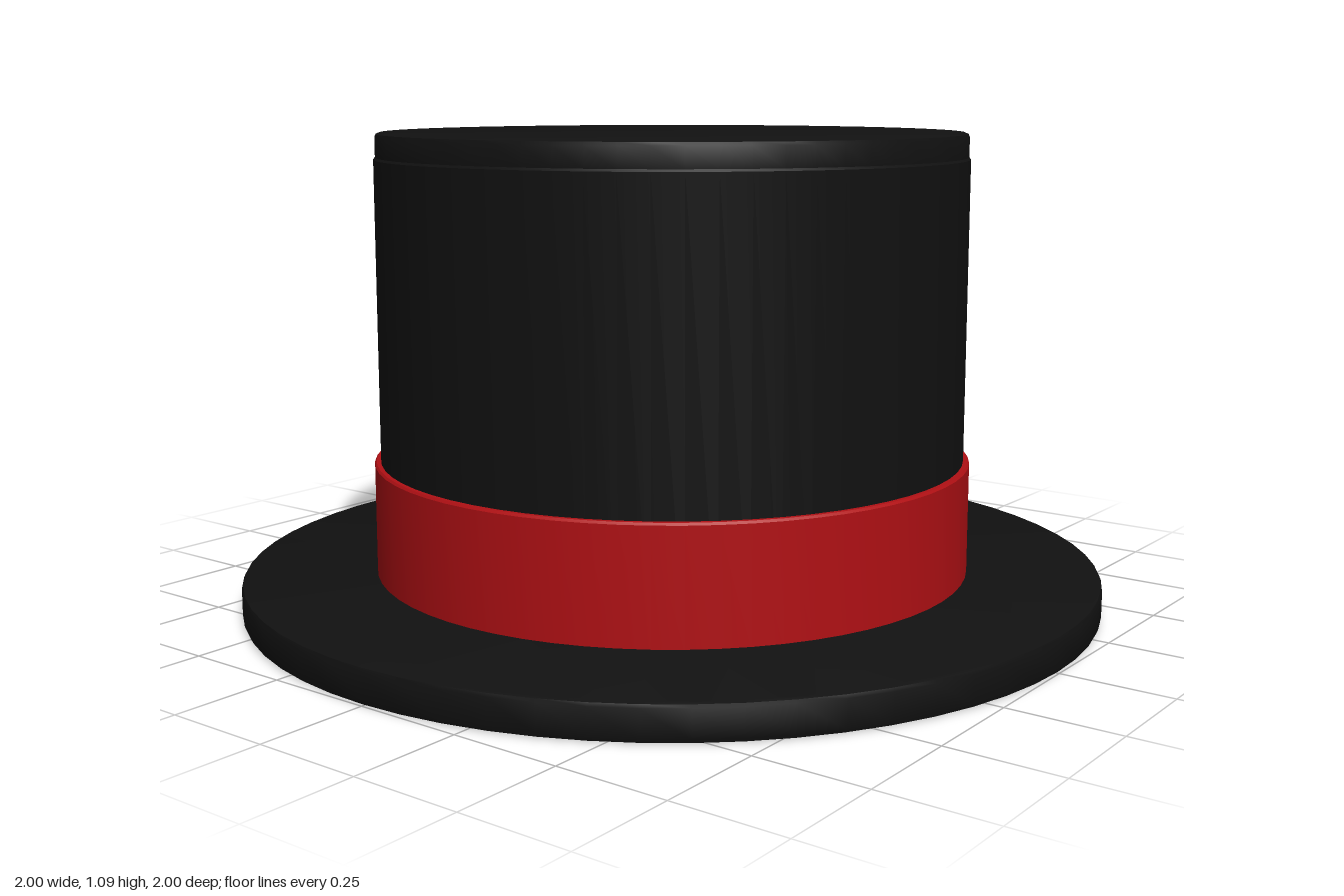
import * as THREE from 'three';
import { toCreasedNormals } from 'three/addons/utils/BufferGeometryUtils.js';

const SEGMENTS = 64;

// Turns a bottom-to-top [radius, height] profile around the y axis
function turned(name, profile, material) {
  const points = profile.map(([r, y]) => new THREE.Vector2(r, y));
  const geometry = toCreasedNormals(new THREE.LatheGeometry(points, SEGMENTS), 0.6);
  const mesh = new THREE.Mesh(geometry, material);
  mesh.name = name;
  return mesh;
}

export function createModel() {
  const felt = new THREE.MeshStandardMaterial({ color: 0x111111 });
  const ribbon = new THREE.MeshStandardMaterial({ color: 0xb01014 });
  const hat = new THREE.Group();
  hat.name = 'topHat';

  // Flat disc brim with softened edges, closed underneath
  hat.add(turned('brim', [
    [0, 0], [0.99, 0], [0.997, 0.003], [1, 0.01],
    [1, 0.07], [0.997, 0.077], [0.99, 0.08], [0, 0.08],
  ], felt));

  // Tall crown, very slightly drawn in at the top edge
  hat.add(turned('crown', [
    [0.68, 0.07], [0.68, 1.03], [0.676, 1.035], [0.676, 1.08],
    [0.673, 1.087], [0.666, 1.09], [0, 1.09],
  ], felt));

  // Ribbon band around the foot of the crown
  hat.add(turned('hatBand', [
    [0.694, 0.07], [0.694, 0.335], [0.69, 0.34], [0.67, 0.34],
  ], ribbon));

  return hat;
}
